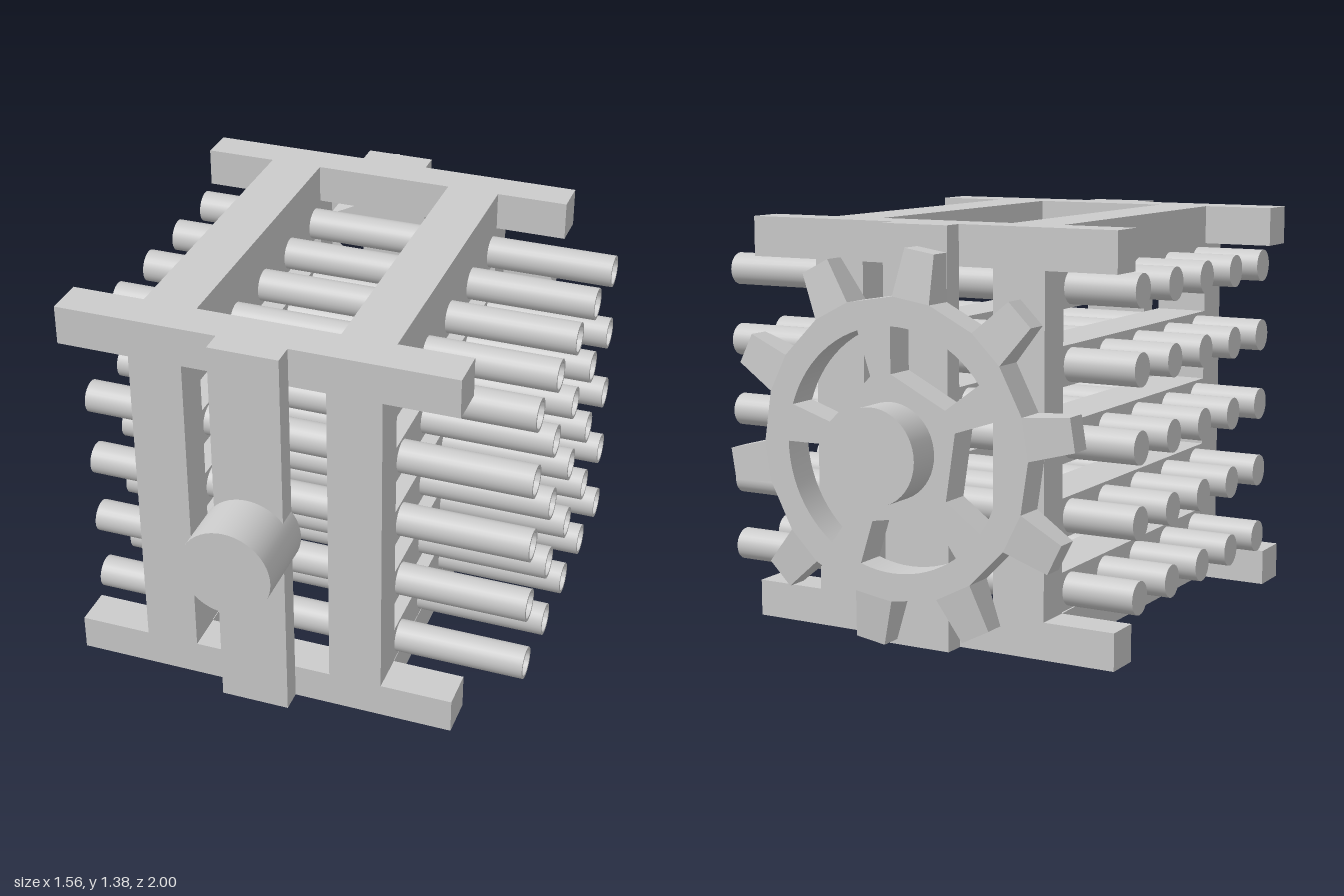
import * as THREE from 'three';
import { toCreasedNormals } from 'three/addons/utils/BufferGeometryUtils.js';

const material = new THREE.MeshStandardMaterial({ color: 0xcccccc });

function addMesh(parent, name, geometry) {
  const mesh = new THREE.Mesh(geometry, material);
  mesh.name = name;
  parent.add(mesh);
  return mesh;
}

// Box given by its limits on each axis
function addBar(parent, name, [x0, x1], [y0, y1], [z0, z1]) {
  const bar = addMesh(parent, name, new THREE.BoxGeometry(x1 - x0, y1 - y0, z1 - z0));
  bar.position.set((x0 + x1) / 2, (y0 + y1) / 2, (z0 + z1) / 2);
  return bar;
}

const AXIS_X = -0.105, AXIS_Y = 0.68;
const FRONT = [0.59, 0.73], BACK = [-0.655, -0.53];
const TOP = [1.25, 1.385], BOTTOM = [0, 0.125];
const SIDES = [[-0.53, -0.345], [0.145, 0.33]];
const ROD_Y = [0.195, 0.44, 0.685, 0.935, 1.185];
const ROD_Z = [-0.47, -0.22, 0.03, 0.28, 0.53];

function createFrame() {
  const frame = new THREE.Group();
  frame.name = 'frame';
  for (const z of [FRONT, BACK]) {
    for (const y of [TOP, BOTTOM]) addBar(frame, 'crossBeam', [-0.78, 0.58], y, z);
    for (const x of SIDES) addBar(frame, 'uprightPost', x, [0.125, 1.25], z);
  }
  for (const x of SIDES) {
    for (const y of [TOP, BOTTOM]) addBar(frame, 'sideRail', x, y, [-0.53, 0.59]);
    for (const y of ROD_Y) addBar(frame, 'rodSlat', x, [y - 0.066, y + 0.066], [-0.53, 0.59]);
  }
  // Thin posts that carry the axle stubs
  addBar(frame, 'frontAxlePost', [-0.22, 0.02], [0, 1.385], [0.73, 0.805]);
  addBar(frame, 'backAxlePost', [-0.22, 0.02], [0, 1.385], [-0.728, -0.655]);
  return frame;
}

// Tubes, open at +x and closed at -x
function createRods() {
  const rods = new THREE.Group();
  rods.name = 'rods';
  const profile = [[0, -0.78], [0.056, -0.78], [0.056, 0.78], [0.045, 0.78], [0.045, -0.76], [0, -0.76]]
    .map(([r, y]) => new THREE.Vector2(r, y));
  const geometry = toCreasedNormals(new THREE.LatheGeometry(profile, 28).rotateZ(-Math.PI / 2), 0.6);
  for (const y of ROD_Y) {
    for (const z of ROD_Z) addMesh(rods, 'rod', geometry).position.set(0, y, z);
  }
  return rods;
}

function addAxle(parent, name, z0, z1) {
  const geometry = new THREE.CylinderGeometry(0.157, 0.157, z1 - z0, 48).rotateX(Math.PI / 2);
  addMesh(parent, name, geometry).position.set(AXIS_X, AXIS_Y, (z0 + z1) / 2);
}

function createGear() {
  const gear = new THREE.Group();
  gear.name = 'gear';
  const rad = THREE.MathUtils.degToRad;
  const polar = (r, deg) => new THREE.Vector2(r * Math.cos(rad(deg)), r * Math.sin(rad(deg)));
  const depth = 0.108, rootRadius = 0.49, rootAngle = 8, firstTooth = 26.7;

  // Rim with straight runs between the teeth
  const outline = [];
  for (let i = 0; i < 10; i++) {
    const a = firstTooth + 36 * i;
    outline.push(polar(rootRadius, a - rootAngle), polar(rootRadius, a + rootAngle));
  }
  const shape = new THREE.Shape(outline);

  // Five openings leave five flared spokes
  for (let i = 0; i < 5; i++) {
    const a = 44.7 + 72 * i;
    const points = [polar(0.245, a - 27)];
    for (let k = 0; k <= 12; k++) points.push(polar(0.396, a - 27 + 4.5 * k));
    points.push(polar(0.245, a + 27));
    shape.holes.push(new THREE.Path(points));
  }
  const body = new THREE.ExtrudeGeometry(shape, { depth, bevelEnabled: false }).translate(0, 0, -depth / 2);
  addMesh(gear, 'gearWheel', toCreasedNormals(body, 0.2));

  // Teeth narrow towards the tip in width and thickness
  const inner = rootRadius * Math.cos(rad(rootAngle)), outer = 0.641;
  const tooth = new THREE.BoxGeometry(outer - inner, 2, 2).translate((inner + outer) / 2, 0, 0);
  const p = tooth.attributes.position;
  for (let i = 0; i < p.count; i++) {
    const tip = p.getX(i) > 0.55;
    p.setY(i, p.getY(i) * (tip ? 0.054 : rootRadius * Math.sin(rad(rootAngle))));
    p.setZ(i, p.getZ(i) * (tip ? 0.038 : depth / 2));
  }
  const toothGeometry = toCreasedNormals(tooth, 0.1);
  for (let i = 0; i < 10; i++) {
    addMesh(gear, 'gearTooth', toothGeometry).rotation.z = rad(firstTooth + 36 * i);
  }
  gear.position.set(AXIS_X, AXIS_Y, -0.827);
  return gear;
}

export function createModel() {
  const model = new THREE.Group();
  model.name = 'gearedRodCage';
  model.add(createFrame(), createRods(), createGear());
  addAxle(model, 'frontAxle', 0.73, 1);
  addAxle(model, 'backAxle', -1, -0.728);
  return model;
}
